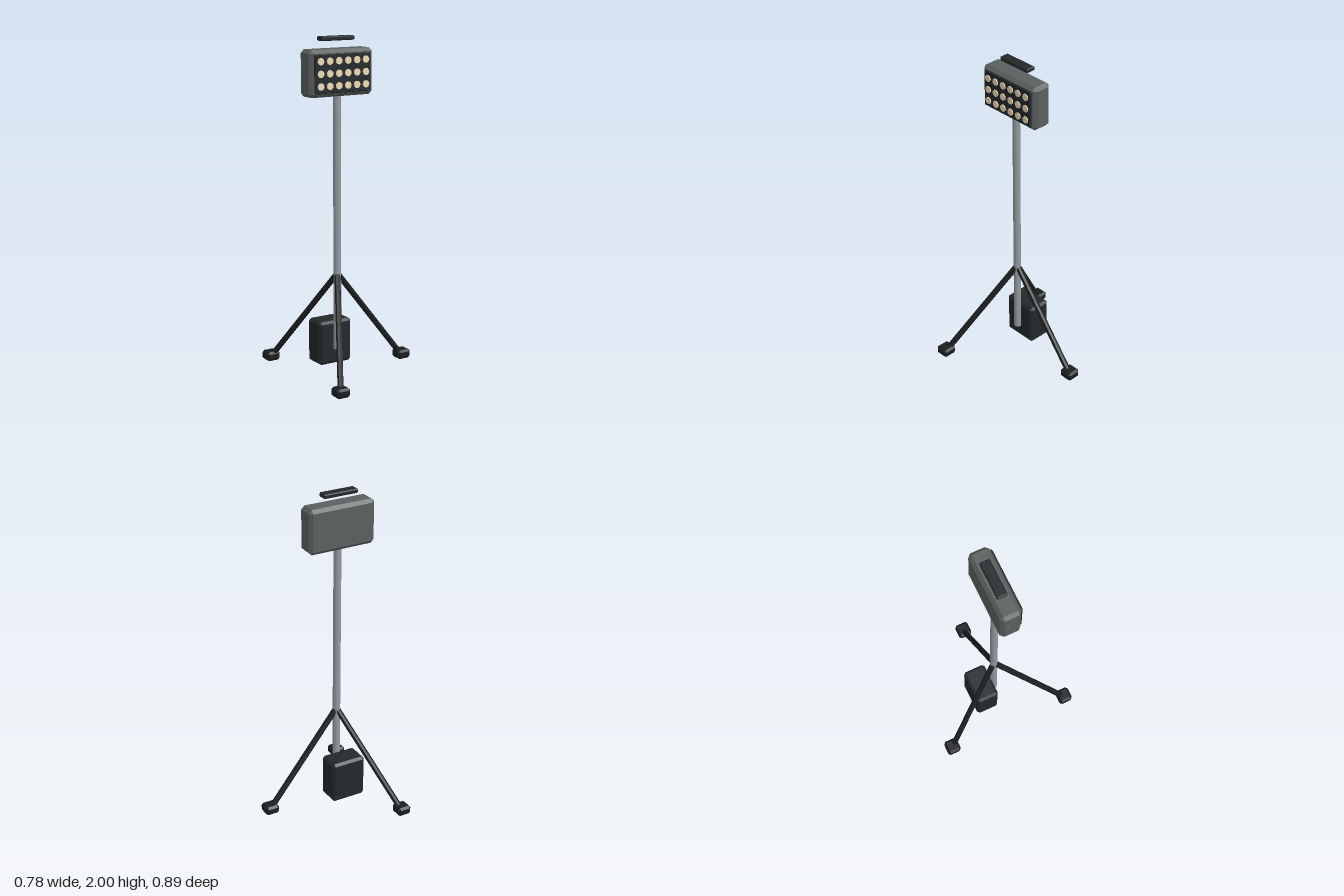
import * as THREE from 'three';
import { ConvexGeometry } from 'three/addons/geometries/ConvexGeometry.js';

const mat = (color) => new THREE.MeshStandardMaterial({ color, flatShading: true });
const housingMat = mat(0x5a605f);
const darkMat = mat(0x24282b);
const legMat = mat(0x1b1e20);
const poleMat = mat(0x929a9f);
const ledMat = mat(0xeedab4);

// Box with every edge and corner cut at 45 degrees
function chamferBox(w, h, d, c) {
  const pts = [];
  for (const sx of [-1, 1]) for (const sy of [-1, 1]) for (const sz of [-1, 1]) {
    for (let axis = 0; axis < 3; axis++) {
      const half = [w / 2 - c, h / 2 - c, d / 2 - c];
      half[axis] += c;
      pts.push(new THREE.Vector3(sx * half[0], sy * half[1], sz * half[2]));
    }
  }
  return new ConvexGeometry(pts);
}

// Cylinder running between two points
function rod(a, b, radius, sides) {
  const dir = b.clone().sub(a);
  const geo = new THREE.CylinderGeometry(radius, radius, dir.length(), sides);
  geo.applyQuaternion(new THREE.Quaternion().setFromUnitVectors(
    new THREE.Vector3(0, 1, 0), dir.clone().normalize()));
  const mid = a.clone().add(b).multiplyScalar(0.5);
  return geo.translate(mid.x, mid.y, mid.z);
}

export function createModel() {
  const model = new THREE.Group();
  model.name = 'floodlightStand';
  const poleX = -0.117;

  const add = (name, geo, material, x = 0, y = 0, z = 0, parent = model) => {
    const mesh = new THREE.Mesh(geo, material);
    mesh.name = name;
    mesh.position.set(x, y, z);
    parent.add(mesh);
    return mesh;
  };

  // Mast
  const smoothPole = poleMat.clone();
  smoothPole.flatShading = false;
  add('pole', new THREE.CylinderGeometry(0.023, 0.023, 1.54, 12), smoothPole, poleX, 0.91, 0);

  // Three splayed legs with block feet
  for (let i = 0; i < 3; i++) {
    const a = (i * Math.PI * 2) / 3;
    const at = (r, y) => new THREE.Vector3(poleX + r * Math.cos(a), y, r * Math.sin(a));
    const leg = new THREE.Group();
    leg.name = 'leg' + (i + 1);
    model.add(leg);
    add('strut', rod(at(0, 0.605), at(0.445, 0.045), 0.018, 8), legMat, 0, 0, 0, leg);
    const f = at(0.463, 0.032);
    add('foot', chamferBox(0.087, 0.056, 0.087, 0.013), legMat, f.x, f.y, f.z, leg);
  }

  // Battery box hung behind the mast
  add('batteryBox', chamferBox(0.22, 0.265, 0.145, 0.015), darkMat, poleX, 0.177, -0.0885);

  // Lamp head
  const head = new THREE.Group();
  head.name = 'lampHead';
  head.position.set(poleX, 1.795, 0);
  model.add(head);
  add('housing', chamferBox(0.425, 0.27, 0.125, 0.02), housingMat, 0, 0, -0.0025, head);
  add('lampPanel', chamferBox(0.375, 0.225, 0.025, 0.004), darkMat, 0, 0, 0.0585, head);

  // Grid of round lamps
  const ledGeo = new THREE.CylinderGeometry(0.021, 0.021, 0.012, 12).rotateX(Math.PI / 2);
  for (let row = 0; row < 3; row++) {
    for (let col = 0; col < 6; col++) {
      add('lamp', ledGeo, ledMat, (col - 2.5) * 0.0605, (row - 1) * 0.071, 0.071, head);
    }
  }

  // Bar floating above the head
  add('topBar', chamferBox(0.22, 0.025, 0.06, 0.005), darkMat, poleX, 1.9875, -0.01);

  return model;
}
